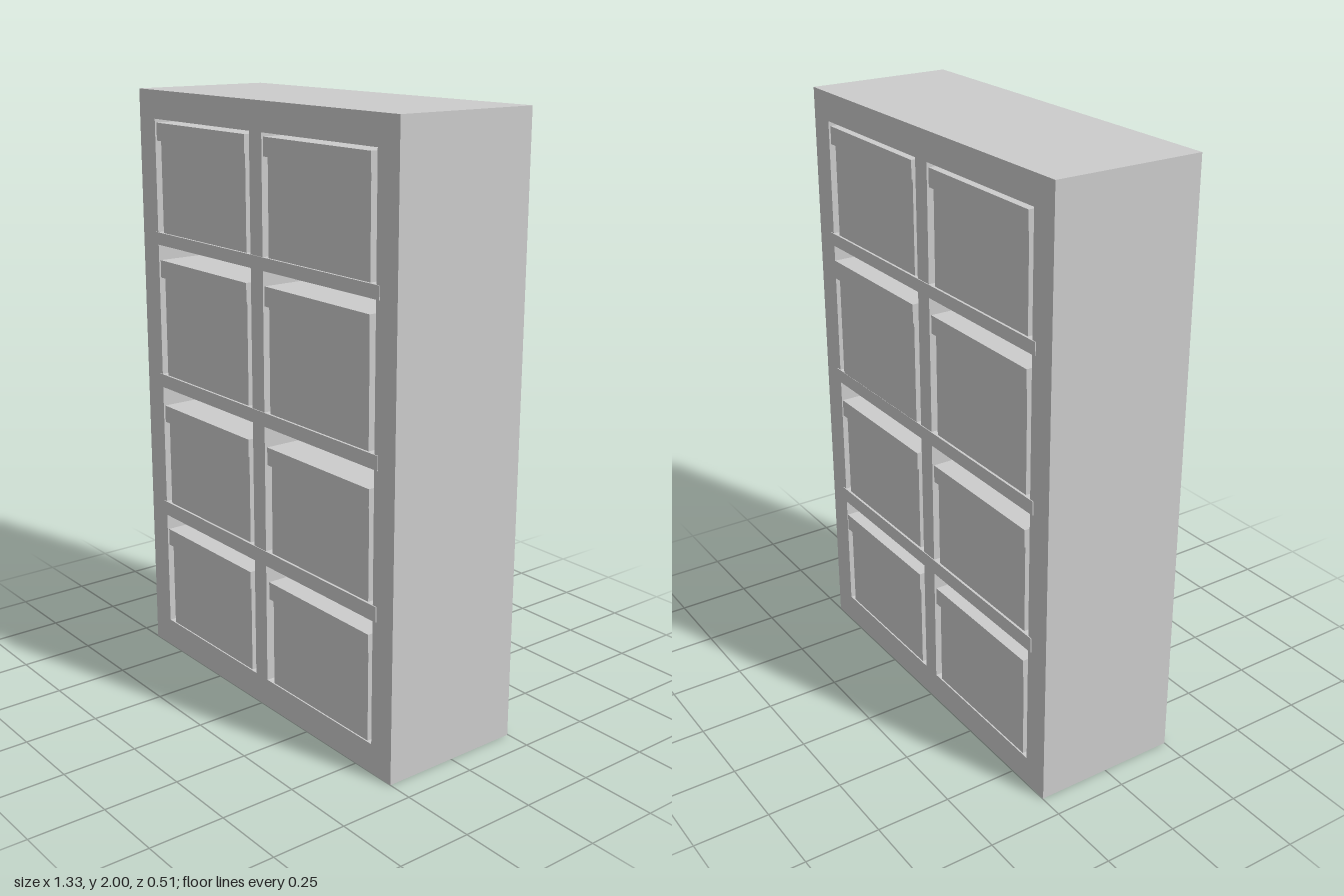
import * as THREE from 'three';

const material = new THREE.MeshStandardMaterial({ color: 0xcccccc, flatShading: true });

// Box given by its extents along each axis
function box(name, [x0, x1], [y0, y1], [z0, z1]) {
  const mesh = new THREE.Mesh(new THREE.BoxGeometry(x1 - x0, y1 - y0, z1 - z0), material);
  mesh.name = name;
  mesh.position.set((x0 + x1) / 2, (y0 + y1) / 2, (z0 + z1) / 2);
  return mesh;
}

function rectangle(PathType, x0, x1, y0, y1) {
  return new PathType([[x0, y0], [x1, y0], [x1, y1], [x0, y1]].map(([x, y]) => new THREE.Vector2(x, y)));
}

export function createModel() {
  const model = new THREE.Group();
  model.name = 'storageShelf';

  // Frame open at front and back, with a central divider
  const outline = rectangle(THREE.Shape, -0.665, 0.665, 0, 2);
  outline.holes.push(
    rectangle(THREE.Path, -0.573, -0.032, 0.098, 1.906),
    rectangle(THREE.Path, 0.032, 0.573, 0.098, 1.906)
  );
  const frame = new THREE.Mesh(
    new THREE.ExtrudeGeometry(outline, { depth: 0.498, bevelEnabled: false }),
    material
  );
  frame.name = 'frame';
  frame.position.z = -0.248;
  model.add(frame);

  // Shelf boards, slightly proud of the frame
  for (const [y0, y1] of [[0.51, 0.56], [0.985, 1.031], [1.486, 1.528]]) {
    model.add(box('shelfBoard', [-0.59, 0.59], [y0, y1], [-0.251, 0.253]));
  }

  // Lidded boxes: centre x, floor, lid bottom, lid top, back of lid
  const boxes = [
    [-0.303, 0.098, 0.4, 0.46, -0.253], [0.307, 0.098, 0.4, 0.46, -0.253],
    [-0.303, 0.56, 0.862, 0.921, -0.253], [0.304, 0.56, 0.862, 0.921, -0.253],
    [-0.303, 1.031, 1.375, 1.435, -0.253], [0.299, 1.031, 1.377, 1.44, -0.26],
    [-0.303, 1.528, 1.836, 1.895, -0.253], [0.299, 1.528, 1.836, 1.895, -0.253]
  ];
  for (const [x, floor, lidBottom, lidTop, back] of boxes) {
    const storageBox = new THREE.Group();
    storageBox.name = 'storageBox';
    storageBox.add(
      box('boxBody', [x - 0.242, x + 0.242], [floor, lidBottom + 0.01], [back + 0.01, 0.245]),
      box('boxLid', [x - 0.252, x + 0.252], [lidBottom, lidTop], [back, 0.255])
    );
    model.add(storageBox);
  }

  return model;
}
